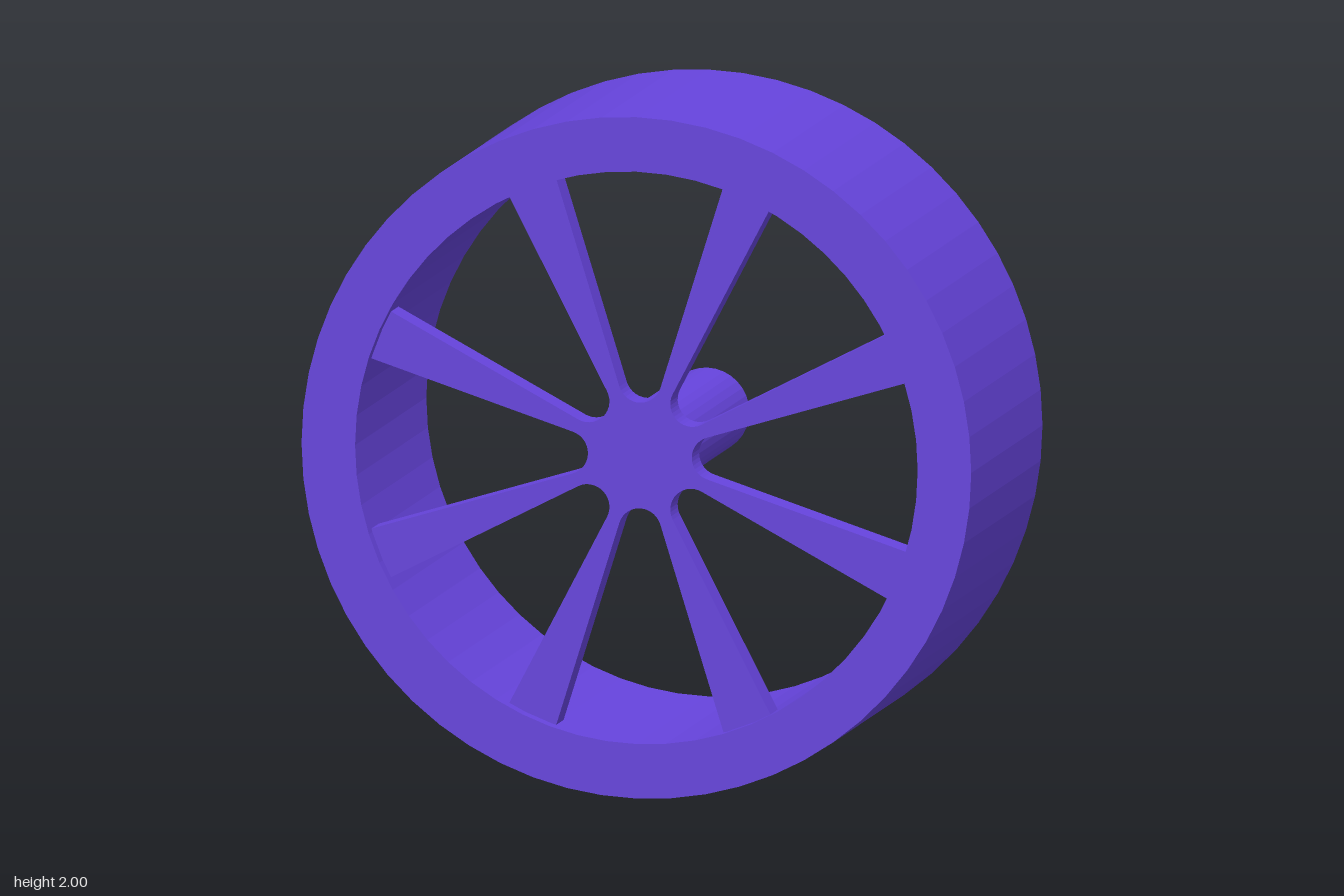
import * as THREE from 'three';

const HALF_WIDTH = 0.41;
const SPOKE_BACK = 0.285, SPOKE_FRONT = 0.37;
const WINDOWS = 8;

// Straight extrusion of a shape between two z planes
function slab(name, shape, z0, z1, material, curveSegments = 12) {
  const geometry = new THREE.ExtrudeGeometry(shape, {
    depth: z1 - z0, bevelEnabled: false, curveSegments,
  });
  geometry.translate(0, 0, z0);
  const mesh = new THREE.Mesh(geometry, material);
  mesh.name = name;
  return mesh;
}

// Flat ring outline
function ring(outer, inner) {
  const shape = new THREE.Shape().absarc(0, 0, outer, 0, Math.PI * 2, false);
  shape.holes.push(new THREE.Path().absarc(0, 0, inner, 0, Math.PI * 2, true));
  return shape;
}

// Star outline: spokes widening outwards, with a rounded notch between each pair
function spokeOutline() {
  const points = [];
  const notchRadius = 0.064, notchCentre = 0.219, slant = 0.305, steps = 14;
  const origin = new THREE.Vector2();
  for (let k = 0; k < WINDOWS; k++) {
    const turn = (k / WINDOWS) * Math.PI * 2;
    const add = (x, y) => points.push(new THREE.Vector2(x, y).rotateAround(origin, turn));
    add(0.254, 0.815);
    for (let i = 0; i <= steps; i++) {
      const a = -slant - (i / steps) * (Math.PI - 2 * slant);
      add(notchRadius * Math.cos(a), notchCentre + notchRadius * Math.sin(a));
    }
    add(-0.254, 0.815);
  }
  return new THREE.Shape(points);
}

export function createModel() {
  const group = new THREE.Group();
  group.name = 'wheel';
  const material = new THREE.MeshStandardMaterial({ color: 0x6644dd });

  // Broad outer rim
  group.add(slab('rim', ring(1, 0.84), -HALF_WIDTH, HALF_WIDTH, material, 30));
  // Spokes and hub disc, set just behind the front face
  group.add(slab('spokes', spokeOutline(), SPOKE_BACK, SPOKE_FRONT, material));
  // Axle tube with a bore open at the back
  group.add(slab('axleTube', ring(0.125, 0.062), -HALF_WIDTH, SPOKE_BACK, material, 16));

  group.position.y = 1;
  const model = new THREE.Group();
  model.add(group);
  return model;
}
